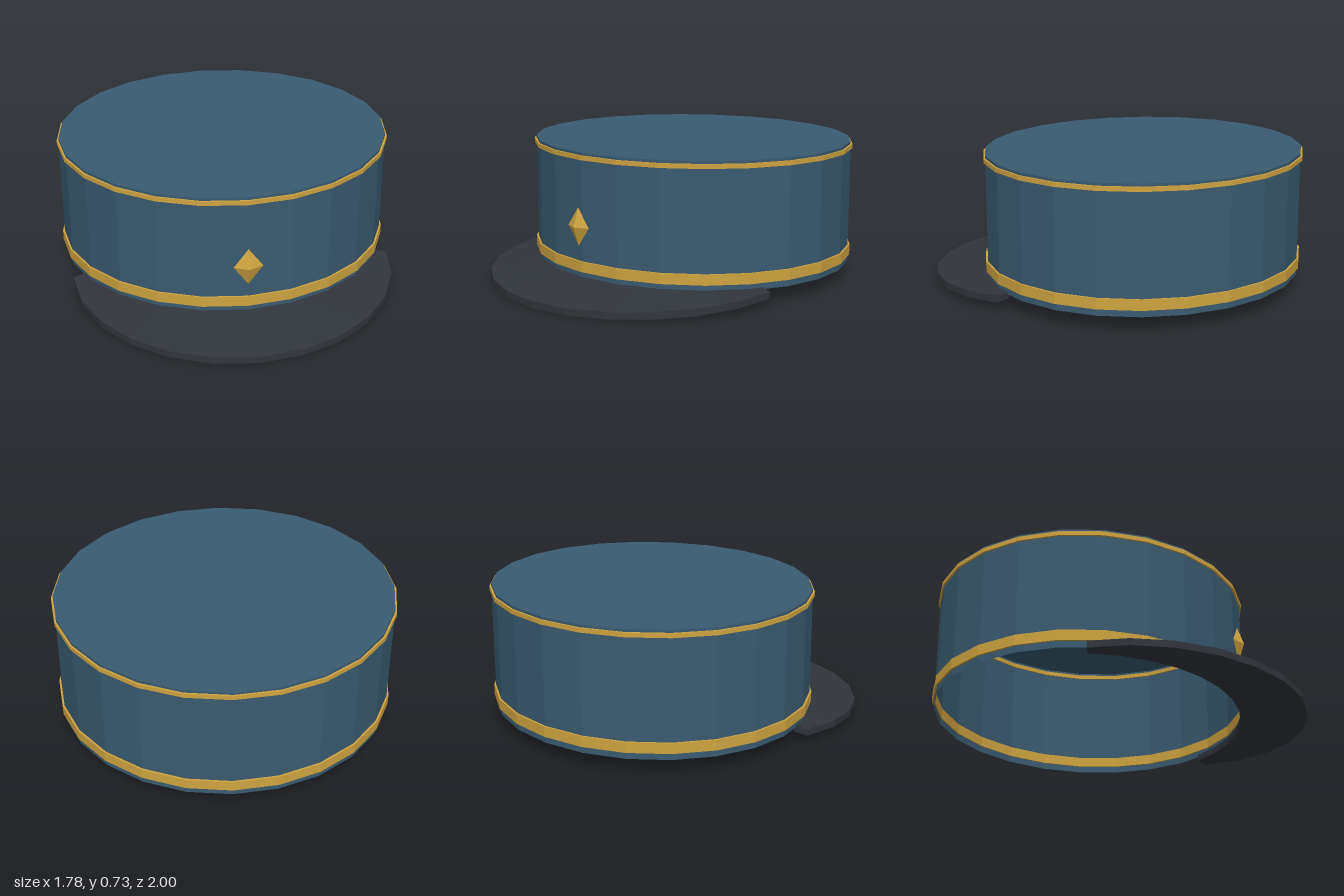
import * as THREE from 'three';

const SIDES = 24, CENTER_Z = -0.165;

export function createModel() {
  const cloth = new THREE.MeshStandardMaterial({ color: 0x3a5b70, flatShading: true, side: THREE.DoubleSide });
  cloth.name = 'blue cloth';
  const gold = new THREE.MeshStandardMaterial({ color: 0xcfa440, flatShading: true });
  gold.name = 'gold';
  const leather = new THREE.MeshStandardMaterial({ color: 0x31353c, flatShading: true });
  leather.name = 'dark leather';

  const group = new THREE.Group();
  group.name = 'cap';
  const add = (name, geometry, material) => {
    const mesh = new THREE.Mesh(geometry, material);
    mesh.name = name;
    group.add(mesh);
    return mesh;
  };

  // Oval faceted body turned from [radius, y] points
  const oval = (points, rx, rz) => new THREE.LatheGeometry(points.map(p => new THREE.Vector2(...p)), SIDES)
    .scale(rx, 1, rz).translate(0, 0, CENTER_Z);

  // Crown: thin wall and flat top, open underneath
  add('crown', oval([[1, 0.08], [1, 0.73], [0, 0.73]], 0.88, 0.82), cloth);

  // Gold rings, showing on both sides of the wall
  const ring = (name, y0, y1) =>
    add(name, oval([[0.98, y0], [1, y0], [1, y1], [0.98, y1], [0.98, y0]], 0.89, 0.83), gold);
  ring('lowerBand', 0.115, 0.17);
  ring('upperTrim', 0.693, 0.716);

  add('visor', visorGeometry(), leather);

  // Diamond badge: four-sided pyramid pointing forward
  add('badge', new THREE.ConeGeometry(1, 1, 4).rotateX(Math.PI / 2).scale(0.075, 0.1, 0.034), gold)
    .position.set(0, 0.355, 0.695);

  return group;
}

// Crescent brim sloping down toward the front
function visorGeometry() {
  const steps = 12, thick = 0.036, pos = [], index = [];
  for (let i = 0; i <= steps; i++) {
    const t = (i / steps) * 2 - 1;
    const a = t * Math.PI / 2, b = t * THREE.MathUtils.degToRad(65);
    const xo = 0.855 * Math.sin(a), zo = 0.2 + 0.8 * Math.cos(a);
    const xi = 0.865 * Math.sin(b), zi = CENTER_Z + 0.8 * Math.cos(b);
    const yo = 0.084 - 0.06 * (zo - 0.2), yi = 0.09;
    pos.push(xi, yi, zi, xo, yo, zo, xo, yo - thick, zo, xi, yi - thick, zi);
    if (i === steps) break;
    for (let j = 0; j < 4; j++) {
      const p = i * 4 + j, q = i * 4 + (j + 1) % 4;
      index.push(p, q, q + 4, p, q + 4, p + 4);
    }
  }
  const e = steps * 4;
  index.push(0, 2, 1, 0, 3, 2, e, e + 1, e + 2, e, e + 2, e + 3);
  const indexed = new THREE.BufferGeometry();
  indexed.setAttribute('position', new THREE.Float32BufferAttribute(pos, 3));
  indexed.setIndex(index);
  const geometry = indexed.toNonIndexed();
  geometry.computeVertexNormals();
  return geometry;
}
